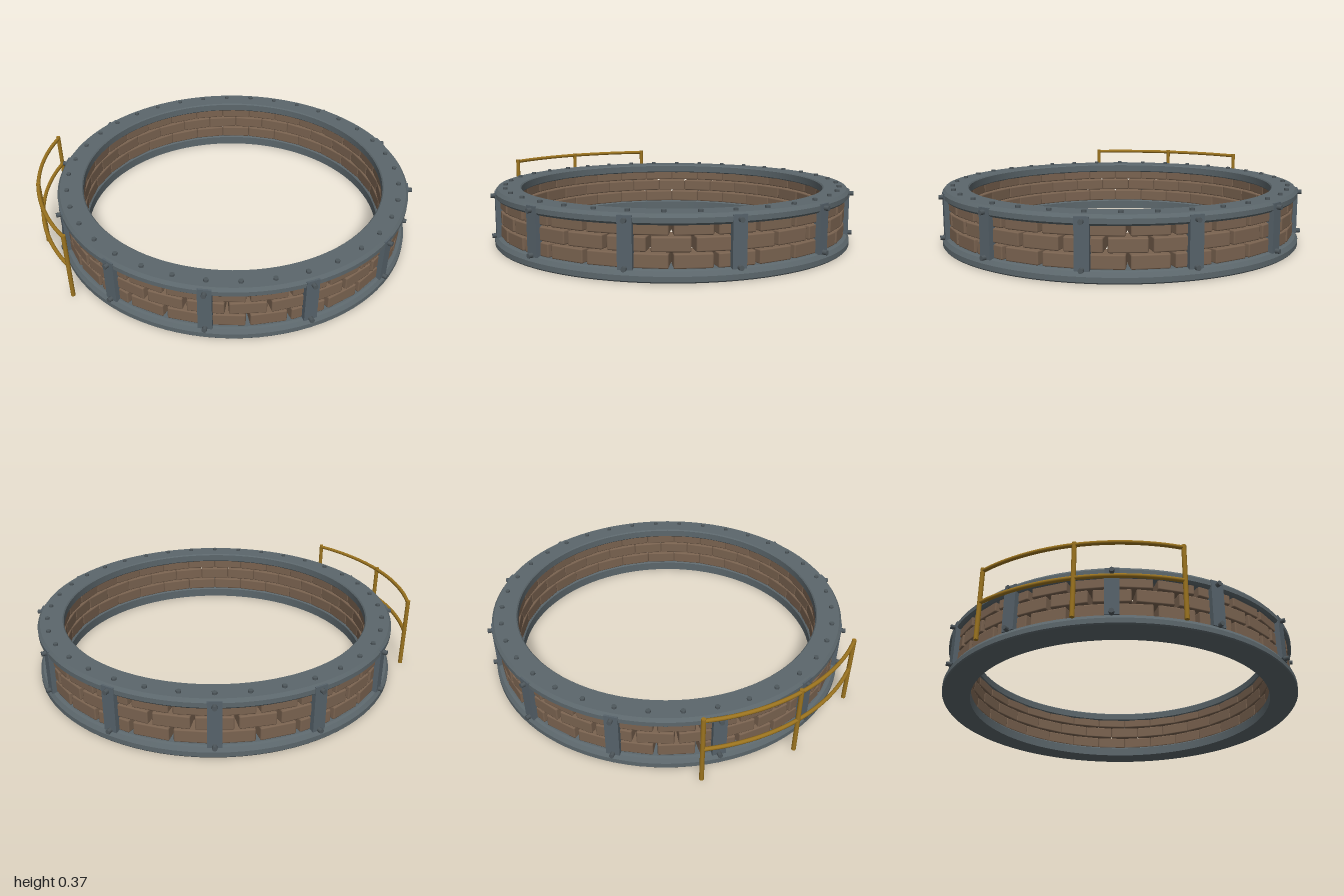
import * as THREE from 'three';
import { RoundedBoxGeometry } from 'three/addons/geometries/RoundedBoxGeometry.js';

const mat = (name, color, side = THREE.FrontSide) =>
  Object.assign(new THREE.MeshStandardMaterial({ color, side }), { name });

export function createModel() {
  const steel = mat('steel', 0x5c676c);
  const strapSteel = mat('strap steel', 0x56626a);
  const boltSteel = mat('bolt steel', 0x4f585d);
  const brick = mat('brick', 0x7a6350);
  const brass = mat('brass', 0x9c741f);

  const model = new THREE.Group();
  model.name = 'brickRing';
  const ring = new THREE.Group();
  ring.name = 'ring';
  ring.position.x = 0.035;
  model.add(ring);

  // Adds a mesh at an angle around the ring, its local +z facing outwards
  const place = (name, geometry, material, angle, radius, y) => {
    const m = new THREE.Mesh(geometry, material);
    m.name = name;
    m.position.set(Math.sin(angle) * radius, y, Math.cos(angle) * radius);
    m.rotation.y = angle;
    ring.add(m);
    return m;
  };

  // Steel hoops, each segment lathed separately so that edges stay crisp
  const hoop = (name, profile) => {
    const group = new THREE.Group();
    group.name = name;
    profile.forEach((p, i) => {
      const q = profile[(i + 1) % profile.length];
      const geo = new THREE.LatheGeometry([new THREE.Vector2(...p), new THREE.Vector2(...q)], 96);
      const m = new THREE.Mesh(geo, steel);
      m.name = name + 'Face';
      group.add(m);
    });
    ring.add(group);
  };
  hoop('topCap', [
    [0.812, 0.245], [0.93, 0.245], [0.94, 0.255], [0.94, 0.278],
    [0.927, 0.294], [0.812, 0.294], [0.806, 0.288], [0.806, 0.251],
  ]);
  hoop('baseRing', [
    [0.806, 0], [0.945, 0], [0.95, 0.006], [0.95, 0.03],
    [0.937, 0.05], [0.925, 0.055], [0.812, 0.055], [0.806, 0.049],
  ]);

  // Three staggered courses of chamfered bricks
  const bricks = 30;
  const step = (Math.PI * 2) / bricks;
  const brickGeo = new RoundedBoxGeometry(0.172, 0.066, 0.108, 1, 0.007);
  for (let row = 0; row < 3; row++)
    for (let i = 0; i < bricks; i++)
      place('brick', brickGeo, brick, (i + (row % 2) / 2) * step, 0.864, 0.087 + row * 0.072);

  // Twelve upright straps, each with two bolts
  const strapGeo = new THREE.BoxGeometry(0.066, 0.235, 0.035);
  const sideBolt = new THREE.CylinderGeometry(0.012, 0.012, 0.03, 8).rotateX(Math.PI / 2);
  for (let i = 0; i < 12; i++) {
    const a = (i * Math.PI) / 6;
    place('strap', strapGeo, strapSteel, a, 0.925, 0.168);
    for (const y of [0.058, 0.265]) place('strapBolt', sideBolt, boltSteel, a, 0.949, y);
  }

  // Bolts around the cap
  const capBolt = new THREE.CylinderGeometry(0.012, 0.012, 0.016, 8);
  for (let i = 0; i < 36; i++)
    place('capBolt', capBolt, boltSteel, (i * Math.PI) / 18, 0.89, 0.297);

  // Curved handrail on the right side, angles measured from -x towards +z
  const railRadius = 1.025;
  const deg = Math.PI / 180;
  const postGeo = new THREE.CylinderGeometry(0.011, 0.011, 0.372, 10);
  for (const d of [18, -9, -36])
    place('railPost', postGeo, brass, (-90 + d) * deg, railRadius, 0.186);
  for (const y of [0.36, 0.19]) {
    const pts = [];
    for (let i = 0; i <= 12; i++) {
      const a = (-90 + 18 - i * 4.5) * deg;
      pts.push(new THREE.Vector3(Math.sin(a) * railRadius, y, Math.cos(a) * railRadius));
    }
    const rail = new THREE.Mesh(
      new THREE.TubeGeometry(new THREE.CatmullRomCurve3(pts), 36, 0.01, 8), brass);
    rail.name = 'handrail';
    ring.add(rail);
  }
  return model;
}
